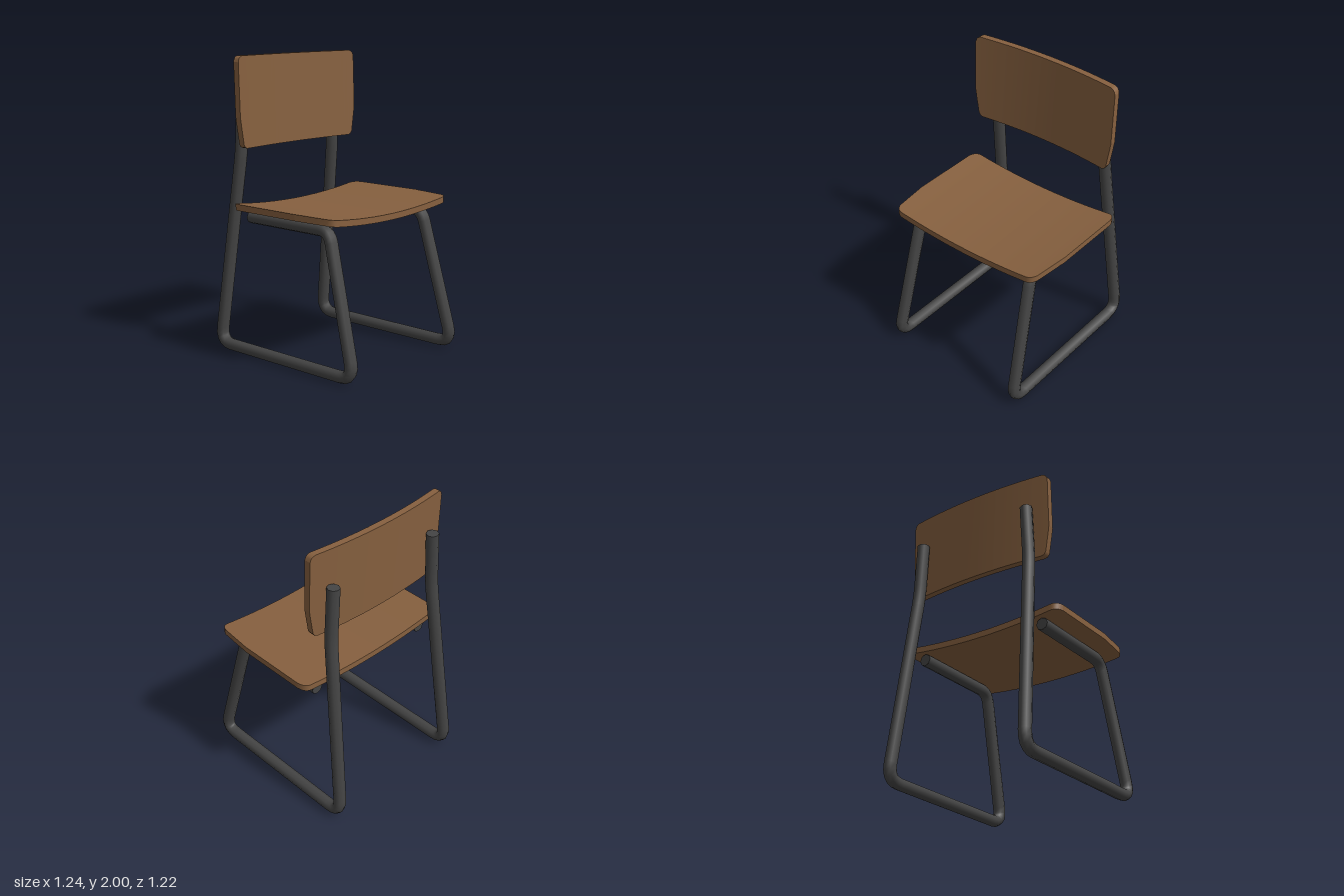
import * as THREE from 'three';

const wood = new THREE.MeshStandardMaterial({ color: 0x86603f });
wood.name = 'brown wood';
const metal = new THREE.MeshStandardMaterial({ color: 0x454545 });
metal.name = 'dark grey metal';

const R = 0.042; // tube radius

// Curve that puts one tube ring on each point of a polyline
class Polyline extends THREE.Curve {
  constructor(points) {
    super();
    this.points = points;
  }
  index(t) {
    return Math.round(t * (this.points.length - 1));
  }
  getPoint(t, target = new THREE.Vector3()) {
    return target.copy(this.points[this.index(t)]);
  }
  getPointAt(t, target) {
    return this.getPoint(t, target);
  }
  getTangentAt(t, target = new THREE.Vector3()) {
    const p = this.points, i = this.index(t);
    target.set(0, 0, 0);
    if (i > 0) target.add(p[i].clone().sub(p[i - 1]).normalize());
    if (i < p.length - 1) target.add(p[i + 1].clone().sub(p[i]).normalize());
    return target.normalize();
  }
}

// Corners given as [x, y, bend length]; the side frame leans inwards as it rises
function bentPath(corners, side) {
  const v = corners.map(([x, y]) => new THREE.Vector3(x, y, side * (0.515 - 0.05 * (y - R))));
  const points = [];
  v.forEach((p, i) => {
    const bend = corners[i][2];
    if (!bend) return points.push(p);
    const a = p.clone().add(v[i - 1].clone().sub(p).setLength(bend));
    const b = p.clone().add(v[i + 1].clone().sub(p).setLength(bend));
    points.push(...new THREE.QuadraticBezierCurve3(a, p, b).getPoints(5));
  });
  return new Polyline(points);
}

// One continuous tube: back post, floor runner, front leg and seat rail
function sideFrame(side) {
  const group = new THREE.Group();
  const path = bentPath([
    [-0.437, 1.755, 0],
    [-0.437, 1.37, 0.08],
    [-0.593, R + 0.003, 0.11],
    [0.6, R + 0.003, 0.11],
    [0.363, 0.945, 0.075],
    [-0.33, 0.945, 0],
  ], side);
  const tube = new THREE.Mesh(new THREE.TubeGeometry(path, path.points.length - 1, R, 8), metal);
  tube.name = 'tube';
  group.add(tube);
  for (const t of [0, 1]) {
    const cap = new THREE.Mesh(new THREE.CircleGeometry(R, 8), metal);
    const out = path.getTangentAt(t).multiplyScalar(t ? 1 : -1);
    cap.position.copy(path.getPoint(t));
    cap.quaternion.setFromUnitVectors(new THREE.Vector3(0, 0, 1), out);
    cap.name = 'tubeEnd';
    group.add(cap);
  }
  return group;
}

// Curved board: rows of [half width, low edge, high edge] from the rim to the middle,
// mirrored in z; place() turns a box vertex and its row into the final position
function board(rows, place) {
  const all = [
    ...rows.map(([w, lo, hi]) => [-w, lo, hi]),
    ...rows.slice(0, -1).reverse(),
  ];
  const n = all.length - 1;
  const geo = new THREE.BoxGeometry(1, 1, 1, 1, 1, n);
  const pos = geo.attributes.position;
  for (let i = 0; i < pos.count; i++) {
    const [w, lo, hi] = all[Math.round((pos.getZ(i) + 0.5) * n)];
    pos.setXYZ(i, ...place(pos.getX(i) + 0.5, pos.getY(i) + 0.5, w, lo, hi));
  }
  geo.computeVertexNormals();
  return new THREE.Mesh(geo, wood);
}

export function createModel() {
  const chair = new THREE.Group();
  chair.name = 'chair';

  for (const side of [1, -1]) {
    const frame = sideFrame(side);
    frame.name = side > 0 ? 'leftFrame' : 'rightFrame';
    chair.add(frame);
  }

  // Seat, dished across its width and tapered at the front
  const inner = [0.46, 0.38, 0.3, 0.2, 0.1, 0];
  const seat = board([
    [0.61, -0.3, 0.2], [0.605, -0.325, 0.24], [0.595, -0.345, 0.335],
    [0.582, -0.357, 0.445], [0.57, -0.363, 0.468], [0.555, -0.365, 0.483],
    [0.53, -0.365, 0.49], ...inner.map((w) => [w, -0.365, 0.49]),
  ], (x, y, w, lo, hi) => [lo + (hi - lo) * x, 0.965 + 0.043 * (w / 0.61) ** 2 + 0.042 * y, w]);
  seat.name = 'seat';
  chair.add(seat);

  // Backrest, curved around the sitter and leaning slightly back
  const backrest = board([
    [0.56, 1.61, 1.96], [0.553, 1.56, 1.98], [0.545, 1.51, 1.99],
    [0.532, 1.43, 1.997], [0.52, 1.41, 2], [0.5, 1.402, 2],
    ...inner.map((w) => [w, 1.402, 2]),
  ], (x, y, w, lo, hi) => {
    const h = lo + (hi - lo) * y;
    return [-0.425 + 0.043 * (w / 0.56) ** 2 + 0.045 * x + 0.033 * (2 - h), h, w];
  });
  backrest.name = 'backrest';
  chair.add(backrest);

  return chair;
}
